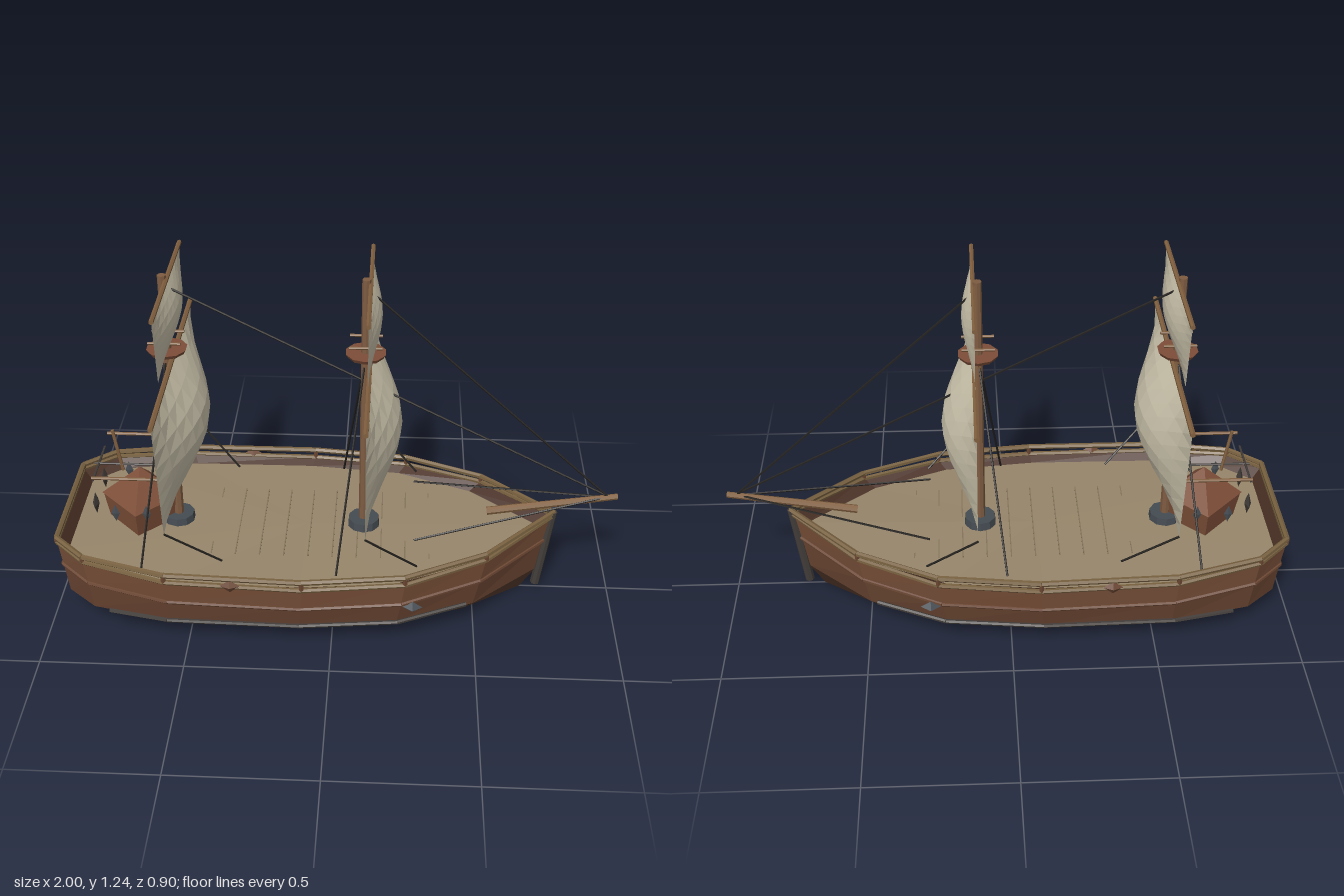
import * as THREE from 'three';

const V = (x, y, z) => new THREE.Vector3(x, y, z);
const mat = (color, extra = {}) => new THREE.MeshStandardMaterial({ color, flatShading: true, ...extra });
const M = {
  keel: mat(0x4a3226), side: mat(0x6b4632), upper: mat(0x7a5039), inner: mat(0x4a3024),
  deck: mat(0x97866b), seam: mat(0x84735a), rail: mat(0x77603f), spar: mat(0x82603f),
  mast: mat(0x7f5c42), iron: mat(0x454c52), dark: mat(0x423d3a), rope: mat(0x24221f),
  cabin: mat(0x7d4e38), sail: mat(0xd0c8b0, { side: THREE.DoubleSide }),
};

// Half outline from stern to bow: x, z, sheer (0 amidships, 1 at the bow)
const HALF = [[-0.97, 0.23, 0.8], [-0.86, 0.33, 0.65], [-0.57, 0.40, 0.2], [-0.1, 0.41, 0],
  [0.25, 0.37, 0.1], [0.53, 0.24, 0.45], [0.78, 0, 1]];
const OUTLINE = [...HALF, ...HALF.slice(0, -1).reverse().map(([x, z, s]) => [x, -z, s])];

// Horizontal ring of the hull between x0 and x1, at height y plus a share of the sheer
const ring = (x0, x1, zs, y, rise) => OUTLINE.map(([x, z, s]) =>
  V(x0 + (x + 0.97) / 1.75 * (x1 - x0), y + s * rise, z * zs));

// Closed band of quads between two rings
function band(a, b) {
  const pos = [];
  a.forEach((p, i) => {
    const j = (i + 1) % a.length;
    for (const q of [p, a[j], b[j], p, b[j], b[i]]) pos.push(q.x, q.y, q.z);
  });
  const g = new THREE.BufferGeometry();
  g.setAttribute('position', new THREE.Float32BufferAttribute(pos, 3));
  g.computeVertexNormals();
  return g;
}

function add(parent, name, geometry, material, x = 0, y = 0, z = 0) {
  const m = new THREE.Mesh(geometry, material);
  m.name = name;
  m.position.set(x, y, z);
  parent.add(m);
  return m;
}

// Round bar from a to b
function rod(parent, name, a, b, r, material, sides = 6, r2 = r) {
  const d = b.clone().sub(a);
  const m = add(parent, name, new THREE.CylinderGeometry(r2, r, d.length(), sides), material);
  m.position.copy(a).addScaledVector(d, 0.5);
  m.quaternion.setFromUnitVectors(V(0, 1, 0), d.normalize());
  return m;
}

function diamond(parent, name, material, x, y, z, sx, sy, sz) {
  add(parent, name, new THREE.OctahedronGeometry(1), material, x, y, z).scale.set(sx, sy, sz);
}

function loopRail(parent, name, pts, r, material) {
  pts.forEach((p, i) => rod(parent, name, p, pts[(i + 1) % pts.length], r, material));
}

function group(parent, name) {
  const g = new THREE.Group();
  g.name = name;
  parent.add(g);
  return g;
}

function buildHull(root) {
  const hull = group(root, 'hull');
  const bottom = ring(-0.87, 0.68, 0.61, 0, 0);
  const bilge = ring(-0.945, 0.735, 0.9, 0.085, 0);
  const waist = ring(-0.955, 0.76, 0.96, 0.18, 0.04);
  const top = ring(-0.965, 0.78, 1, 0.275, 0.05);
  const deck = ring(-0.93, 0.725, 0.91, 0.258, 0.02);
  add(hull, 'hullBottom', band(bottom.map(() => V(-0.1, 0, 0)), bottom), M.keel);
  add(hull, 'bilge', band(bottom, bilge), M.keel);
  add(hull, 'lowerPlanking', band(bilge, waist), M.side);
  add(hull, 'upperPlanking', band(waist, top), M.upper);
  add(hull, 'innerBulwark', band(top, deck), M.inner);
  add(hull, 'deck', band(deck, deck.map(() => V(-0.1, 0.26, 0))), M.deck);
  for (let x = -0.43; x < 0.5; x += 0.085)
    add(hull, 'deckSeam', new THREE.BoxGeometry(0.004, 0.004, 0.4), M.seam, x, 0.263, 0);

  // Wale and the two rails above it
  loopRail(hull, 'wale', waist, 0.008, M.side);
  loopRail(hull, 'lowerRail', top, 0.009, M.rail);
  const rail = ring(-0.965, 0.78, 1, 0.308, 0.03);
  loopRail(hull, 'topRail', rail, 0.01, M.rail);
  rail.forEach((p, i) => rod(hull, 'railPost', top[i], p, 0.009, M.side));

  // Rubbing strakes, side fittings, stem post and rudder
  for (const s of [1, -1]) {
    const strake = [V(-0.78, 0.092, s * 0.325), V(-0.57, 0.094, s * 0.37), V(-0.11, 0.094, s * 0.38),
      V(0.23, 0.096, s * 0.345), V(0.47, 0.1, s * 0.24)];
    strake.slice(1).forEach((p, i) => rod(hull, 'strake', strake[i], p, 0.008, M.dark));
    diamond(hull, 'sideFitting', M.iron, 0.28, 0.17, s * 0.35, 0.035, 0.022, 0.025);
    diamond(hull, 'chainPlate', M.side, -0.34, 0.285, s * 0.41, 0.035, 0.025, 0.015);
  }
  rod(hull, 'stemPost', V(0.735, 0.02, 0), V(0.775, 0.34, 0), 0.017, M.dark, 8);
  diamond(hull, 'rudder', M.iron, -0.983, 0.08, 0, 0.017, 0.065, 0.012);
  rod(hull, 'bowsprit', V(0.54, 0.335, 0), V(0.998, 0.413, 0), 0.015, M.spar, 8, 0.011);
}

// Billowing square sail, held flat along its edges
function sailGeometry(yTop, yLow, wTop, wLow, belly) {
  const g = new THREE.PlaneGeometry(1, 1, 10, 8);
  const p = g.attributes.position;
  for (let i = 0; i < p.count; i++) {
    const u = p.getX(i) * 2, v = p.getY(i) + 0.5;
    const lift = 0.02 * (1 - u * u) * (1 - v);
    p.setXYZ(i, belly * Math.cos(u * Math.PI / 2) * Math.sin(v * Math.PI),
      yLow + (yTop - yLow) * v + lift, -u * (wLow + (wTop - wLow) * v));
  }
  g.computeVertexNormals();
  return g;
}

function buildMast(root, x) {
  const g = group(root, 'mastAssembly');
  g.position.x = x;
  rod(g, 'mast', V(0, 0.25, 0), V(0, 1.24, 0), 0.018, M.mast, 8, 0.015);
  add(g, 'mastCollar', new THREE.CylinderGeometry(0.055, 0.058, 0.03, 10), M.iron, 0, 0.28, 0);
  add(g, 'lookoutPlatform', new THREE.CylinderGeometry(0.07, 0.062, 0.014, 10), M.cabin, 0, 0.965, 0);
  const sx = 0.014;
  rod(g, 'lowerYard', V(sx, 0.925, -0.45), V(sx, 0.925, 0.45), 0.009, M.spar);
  rod(g, 'upperYard', V(sx, 1.222, -0.3), V(sx, 1.222, 0.3), 0.008, M.spar);
  add(g, 'mainSail', sailGeometry(0.922, 0.466, 0.44, 0.375, 0.115), M.sail, sx, 0, 0);
  add(g, 'topSail', sailGeometry(1.22, 0.985, 0.295, 0.263, 0.04), M.sail, sx, 0, 0);
  for (const s of [1, -1]) {
    rod(g, 'lookoutRail', V(-0.055, 1.01, s * 0.045), V(0.055, 1.01, s * 0.045), 0.005, M.spar);
    rod(g, 'shroud', V(-0.005, 0.92, s * 0.015), V(-0.085, 0.28, s * 0.33), 0.004, M.rope, 5);
    rod(g, 'sheet', V(sx, 0.468, s * 0.374), V(0.19, 0.3, s * 0.29), 0.004, M.rope, 5);
  }
}

function buildCabin(root) {
  const g = group(root, 'cabin');
  g.position.x = -0.7;
  add(g, 'cabinWalls', new THREE.CylinderGeometry(0.14, 0.12, 0.11, 4), M.cabin, 0, 0.315, 0);
  add(g, 'cabinRoof', new THREE.ConeGeometry(0.145, 0.115, 4), M.cabin, 0, 0.427, 0);
  rod(g, 'roofRidge', V(-0.16, 0.495, 0), V(0.14, 0.495, 0), 0.004, M.dark);
  rod(g, 'sternBar', V(-0.145, 0.495, -0.11), V(-0.145, 0.495, 0.11), 0.004, M.dark);
  rod(g, 'sternStaff', V(-0.06, 0.47, 0), V(-0.085, 0.635, 0), 0.006, M.spar);
  for (const s of [1, -1]) {
    rod(g, 'cabinRail', V(-0.14, 0.53, s * 0.145), V(0.13, 0.53, s * 0.145), 0.006, M.spar);
    for (const x of [-0.07, 0.04])
      diamond(g, 'cabinLantern', M.iron, x, 0.378, s * 0.137, 0.015, 0.035, 0.005);
    diamond(g, 'sternLantern', M.dark, -0.15, 0.38, s * 0.08, 0.012, 0.045, 0.03);
  }
}

export function createModel() {
  const root = new THREE.Group();
  root.name = 'sailingShip';
  buildHull(root);
  buildCabin(root);
  for (const x of [-0.57, 0.1]) {
    buildMast(root, x);
    rod(root, 'stay', V(x + 0.01, 1.2, 0), V(0.96, 0.415, 0), 0.004, M.rope, 5);
  }
  for (const s of [1, -1])
    rod(root, 'bowStay', V(0.28, 0.33, s * 0.18), V(0.96, 0.41, 0), 0.004, M.rope, 5);
  return root;
}
